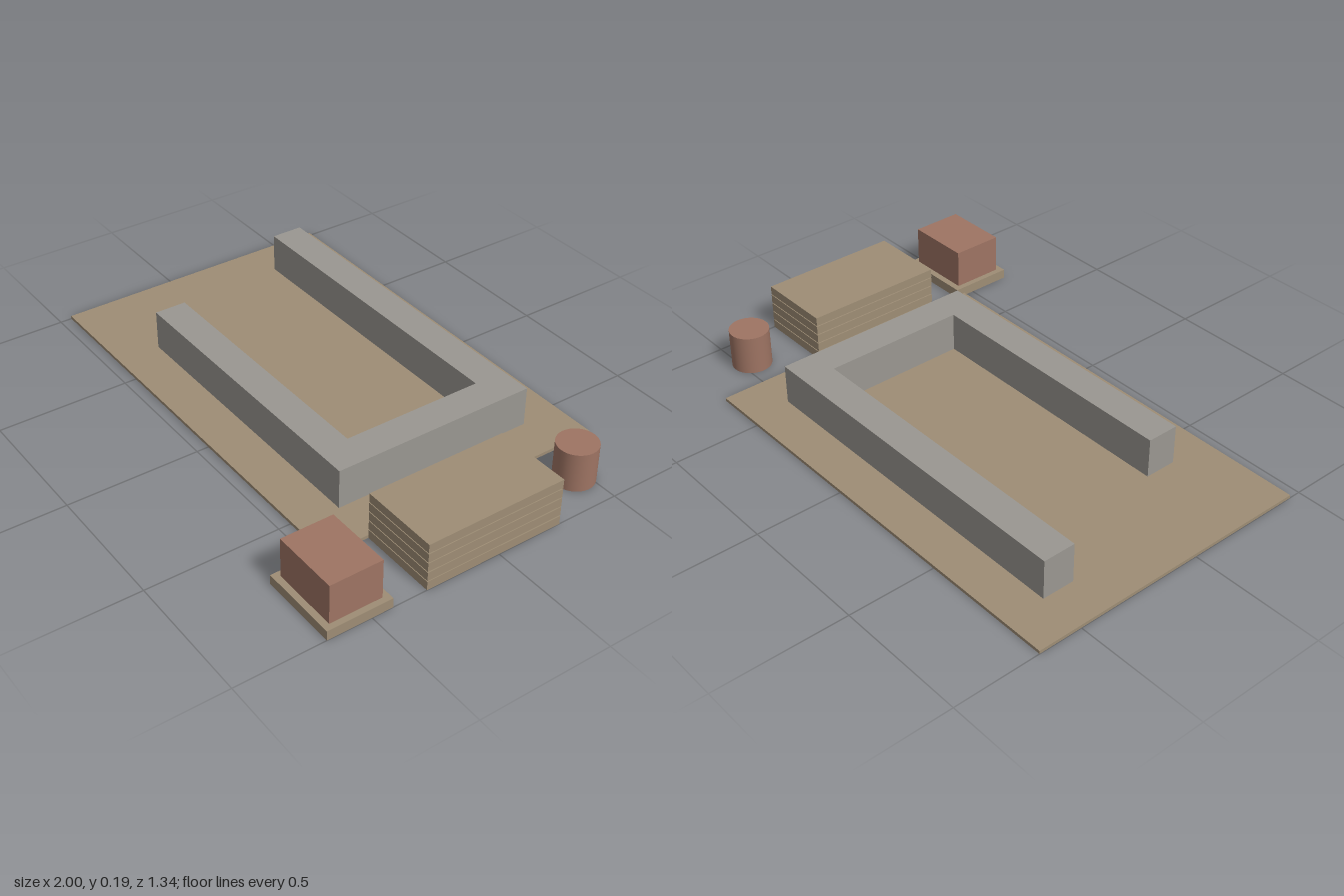
import * as THREE from 'three';

export function createModel() {
  const group = new THREE.Group();
  const material = (name, color) => {
    const m = new THREE.MeshStandardMaterial({ color });
    m.name = name;
    return m;
  };
  const timber = material('timber tan', 0x9e8d75);
  const concrete = material('concrete grey', 0x9a9791);
  const clay = material('clay red', 0x9e7463);

  const add = (name, geometry, mat) => {
    const mesh = new THREE.Mesh(geometry, mat);
    mesh.name = name;
    group.add(mesh);
    return mesh;
  };
  // Box given by its extents along each axis
  const block = (name, mat, [x0, x1], [y0, y1], [z0, z1]) =>
    add(name, new THREE.BoxGeometry(x1 - x0, y1 - y0, z1 - z0), mat)
      .position.set((x0 + x1) / 2, (y0 + y1) / 2, (z0 + z1) / 2);

  // Ground slab
  block('groundSlab', timber, [-1, 0.7], [0, 0.012], [-0.67, 0.455]);

  // U-shaped wall with a longer rear arm, outlined in x and -z
  const outline = [
    [-0.84, 0.51], [-0.84, 0.385], [0.412, 0.385], [0.412, -0.165],
    [-0.62, -0.165], [-0.62, -0.288], [0.537, -0.288], [0.537, 0.51],
  ].map(([x, y]) => new THREE.Vector2(x, y));
  const wall = new THREE.ExtrudeGeometry(new THREE.Shape(outline), { depth: 0.162, bevelEnabled: false });
  wall.rotateX(-Math.PI / 2);
  add('wall', wall, concrete).position.y = 0.002;

  // Stack of boards with narrow gaps
  for (let i = 0; i < 5; i++) {
    const y = i * 0.0372;
    block(`stackedBoard${i + 1}`, timber, [0.7, 1], [y, y + 0.0335], [-0.255, 0.29]);
  }

  // Crate on its pallet
  block('pallet', timber, [0.7, 1], [0, 0.037], [0.42, 0.667]);
  block('crate', clay, [0.722, 0.978], [0.037, 0.187], [0.445, 0.643]);

  // Barrel
  add('barrel', new THREE.CylinderGeometry(0.075, 0.075, 0.15, 32), clay).position.set(0.85, 0.075, -0.457);

  return group;
}
